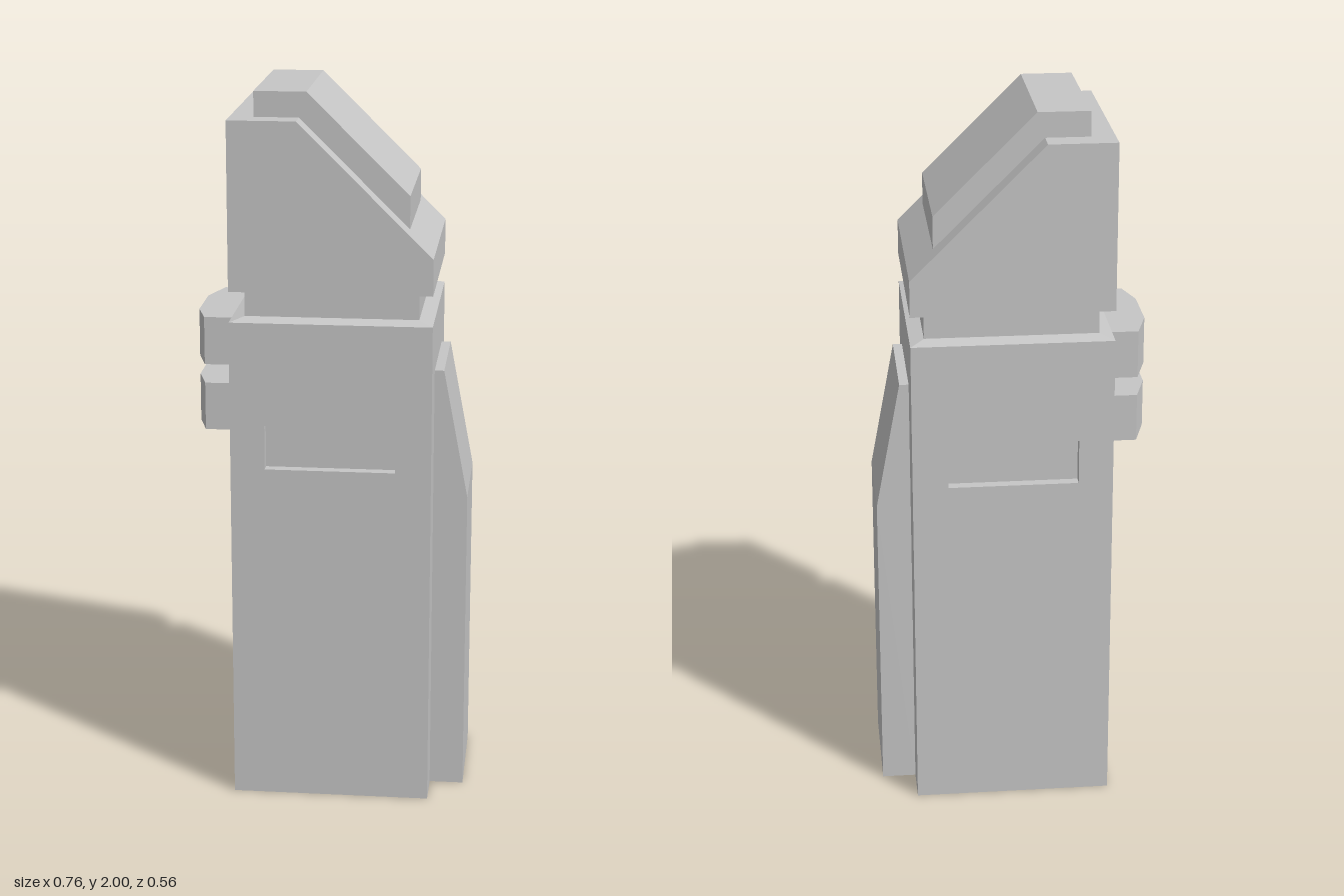
import * as THREE from 'three';

export function createModel() {
  const model = new THREE.Group();
  const grey = new THREE.MeshStandardMaterial({ color: 0xc6c6c6 });
  grey.name = 'lightGrey';

  const X0 = -0.27, X1 = 0.283, HALF = 0.278; // footprint of body and head
  const SLOT = 0.03; // slot depth

  function add(name, geometry) {
    const mesh = new THREE.Mesh(geometry, grey);
    mesh.name = name;
    model.add(mesh);
    return mesh;
  }

  const shapeOf = (pts) => new THREE.Shape(pts.map(([x, y]) => new THREE.Vector2(x, y)));
  const rect = (x0, y0, x1, y1) => [[x0, y0], [x1, y0], [x1, y1], [x0, y1]];

  // Extrude an x-y profile between two z values
  function slab(name, shape, z0, z1) {
    const geo = new THREE.ExtrudeGeometry(shape, { depth: z1 - z0, bevelEnabled: false });
    return add(name, geo.translate(0, 0, z0));
  }

  // Box whose top or bottom face is pulled in to the neck outline
  function taper(name, y0, y1, narrowTop) {
    const geo = new THREE.BoxGeometry(X1 - X0, y1 - y0, 2 * HALF).toNonIndexed();
    const p = geo.attributes.position;
    for (let i = 0; i < p.count; i++) {
      if ((p.getY(i) > 0) === narrowTop) p.setXYZ(i, p.getX(i) * 0.86, p.getY(i), p.getZ(i) * 0.86);
    }
    geo.computeVertexNormals();
    add(name, geo.translate((X0 + X1) / 2, (y0 + y1) / 2, 0));
  }

  // Body: a core with front and back skins that leave a recessed slot
  slab('bodyCore', shapeOf(rect(X0, 0, X1, 1.383)), -HALF + SLOT, HALF - SLOT);
  const skin = shapeOf(rect(X0, 0, X1, 1.383));
  skin.holes.push(new THREE.Path(rect(-0.175, 0.97, 0.185, 1.095).map(([x, y]) => new THREE.Vector2(x, y))));
  slab('frontSkin', skin, HALF - SLOT, HALF);
  slab('backSkin', skin, -HALF, -HALF + SLOT);

  // Neck between slightly sloped shoulders
  taper('shoulder', 1.383, 1.393, true);
  slab('neck', shapeOf(rect(-0.231, 1.385, 0.244, 1.47)), -0.238, 0.238);
  taper('headBase', 1.461, 1.468, false);

  // Head with a sloped face, and the raised plate following it
  slab('head', shapeOf([[X0, 1.468], [X1, 1.468], [X1, 1.568], [-0.083, 1.931], [X0, 1.931]]), -HALF, HALF);
  slab('headPlate', shapeOf([[-0.205, 1.9], [-0.1, 1.9], [0.215, 1.6], [0.215, 1.725], [-0.063, 2], [-0.205, 2]]), -0.211, 0.211);

  // Tall side panel with a slanted top
  slab('sidePanel', shapeOf([[X1, 0], [0.378, 0], [0.378, 0.87], [0.309, 1.233], [X1, 1.233]]), -0.162, 0.162);

  // Two faceted bumpers on the opposite side
  const bumper = shapeOf([[X0, -0.181], [X0, 0.182], [-0.347, 0.182], [-0.38, 0.073], [-0.38, -0.087], [-0.352, -0.181]]);
  for (const [name, y] of [['upperBumper', 1.239], ['lowerBumper', 1.052]]) {
    const mesh = slab(name, bumper, 0, 0.134);
    mesh.rotation.x = -Math.PI / 2;
    mesh.position.y = y;
  }

  return model;
}
